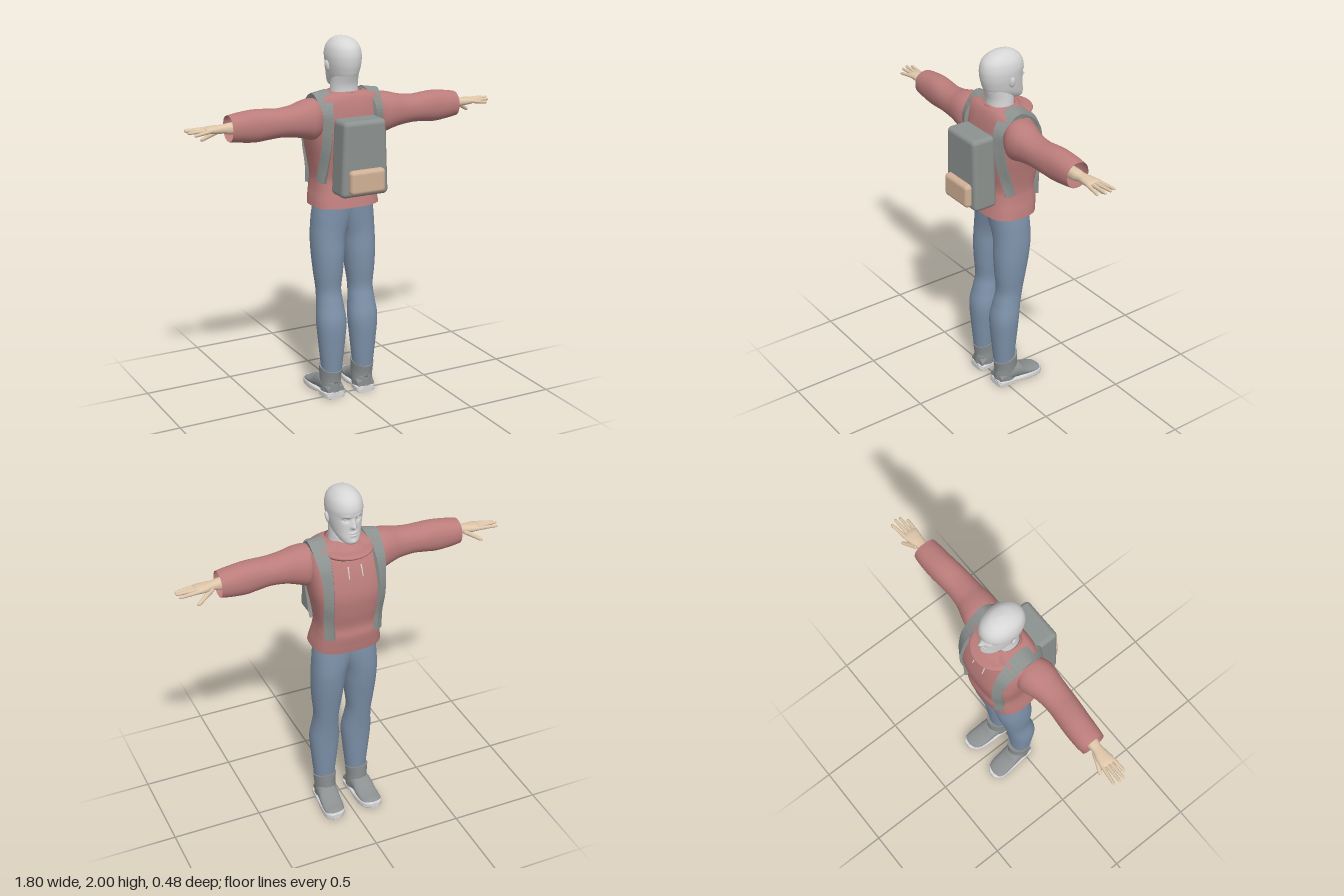
import * as THREE from 'three';
import { RoundedBoxGeometry } from 'three/addons/geometries/RoundedBoxGeometry.js';

const mat = (name, color, side = THREE.FrontSide) => {
  const m = new THREE.MeshStandardMaterial({ color, side });
  m.name = name;
  return m;
};

// Smooth value between section b and c
const spline = (a, b, c, d, t) =>
  b + 0.5 * t * (c - a + t * (2 * a - 5 * b + 4 * c - d + t * (3 * (b - c) + d - a)));

// Skin over sections [t, u0, u1, v0, v1]; each is a rounded oval of power n
function loft(sections, map, { n = 2, seg = 40, steps = 6, caps = false } = {}) {
  const pos = [], index = [], last = sections.length - 1;
  const at = (i) => sections[Math.min(last, Math.max(0, i))];
  const bend = (c) => Math.sign(c) * Math.pow(Math.abs(c), 2 / n);
  const rings = last * steps;
  for (let r = 0; r <= rings; r++) {
    const i = Math.min(last - 1, Math.floor(r / steps)), f = r / steps - i;
    const [t, u0, u1, v0, v1] = at(i).map((_, k) =>
      spline(at(i - 1)[k], at(i)[k], at(i + 1)[k], at(i + 2)[k], f));
    for (let s = 0; s < seg; s++) {
      const a = (s / seg) * Math.PI * 2;
      pos.push(...map(t, (u0 + u1) / 2 + bend(Math.cos(a)) * (u1 - u0) / 2,
        (v0 + v1) / 2 + bend(Math.sin(a)) * (v1 - v0) / 2));
    }
  }
  for (let r = 0; r < rings; r++) for (let s = 0; s < seg; s++) {
    const a = r * seg + s, b = r * seg + (s + 1) % seg;
    index.push(a, a + seg, b, b, a + seg, b + seg);
  }
  if (caps) for (const r of [0, rings]) {
    const base = pos.length / 3, mid = [0, 0, 0];
    for (let s = 0; s < seg; s++) {
      const p = pos.slice((r * seg + s) * 3, (r * seg + s) * 3 + 3);
      p.forEach((c, k) => (mid[k] += c / seg));
      pos.push(...p);
    }
    pos.push(...mid);
    for (let s = 0; s < seg; s++) {
      const a = base + s, b = base + (s + 1) % seg;
      index.push(base + seg, ...(r ? [b, a] : [a, b]));
    }
  }
  const g = new THREE.BufferGeometry();
  g.setAttribute('position', new THREE.Float32BufferAttribute(pos, 3));
  g.setIndex(index);
  g.computeVertexNormals();
  return g;
}
const upY = (t, u, v) => [u, t, v];
const alongX = (t, u, v) => [t, v, u];
const forward = (t, u, v) => [u + t * 0.11, v, -t];
const sym = (rows) => rows.map(([y, hx, zf, zb]) => [y, -hx, hx, zf, zb]);

function mirrored(geometry) {
  const g = geometry.clone().scale(-1, 1, 1), a = g.index.array;
  for (let i = 0; i < a.length; i += 3) [a[i], a[i + 1]] = [a[i + 1], a[i]];
  return g;
}

// Torso: y, half width, front z, back z
const TORSO = [[1.1, 0.19, -0.2, 0.09], [1.14, 0.184, -0.206, 0.08], [1.2, 0.172, -0.213, 0.065],
  [1.26, 0.168, -0.206, 0.055], [1.35, 0.18, -0.222, 0.07], [1.45, 0.198, -0.23, 0.088],
  [1.55, 0.208, -0.208, 0.09], [1.62, 0.208, -0.18, 0.082], [1.67, 0.198, -0.15, 0.07],
  [1.7, 0.16, -0.125, 0.055], [1.718, 0.09, -0.1, 0.035]];
function torsoZ(x, y, side) {
  let i = 0;
  while (i < TORSO.length - 2 && TORSO[i + 1][0] < y) i++;
  const f = (y - TORSO[i][0]) / (TORSO[i + 1][0] - TORSO[i][0]);
  const [, hx, zf, zb] = TORSO[i].map((c, k) => c + (TORSO[i + 1][k] - c) * f);
  const k = Math.pow(Math.max(0, 1 - Math.pow(Math.abs(x) / hx, 2.8)), 1 / 2.8);
  return (zf + zb) / 2 + side * k * (zb - zf) / 2;
}

// Band lying on the torso along [x, y, side]; side 0 is the top of the shoulder
function strapGeometry(route) {
  const normals = route.map(([x, y, s]) => {
    if (!s) return new THREE.Vector3(0.15, 1, 0);
    const slope = (dx, dy) => (torsoZ(x + dx, y + dy, s) - torsoZ(x - dx, y - dy, s)) / 0.02;
    return new THREE.Vector3(-s * slope(0.01, 0), -s * slope(0, 0.01), s).normalize();
  });
  const points = route.map(([x, y, s], i) =>
    new THREE.Vector3(x, y, s ? torsoZ(x, y, s) : -0.03).addScaledVector(normals[i], 0.006));
  const path = new THREE.CatmullRomCurve3(points), out = new THREE.CatmullRomCurve3(normals);
  const pos = [], index = [], N = 60;
  for (let i = 0; i <= N; i++) {
    const p = path.getPoint(i / N), n = out.getPoint(i / N).normalize();
    const s = path.getTangent(i / N).cross(n).normalize();
    const half = 0.026 + 0.016 * Math.max(0, n.y);
    for (const [w, h] of [[-1, -0.025], [1, -0.025], [1, 0.009], [-1, 0.009]])
      pos.push(...p.clone().addScaledVector(s, w * half).addScaledVector(n, h).toArray());
  }
  for (let i = 0; i < N; i++) for (let k = 0; k < 4; k++) {
    const a = i * 4 + k, b = i * 4 + (k + 1) % 4;
    index.push(a, a + 4, b, b, a + 4, b + 4);
  }
  index.push(0, 1, 2, 0, 2, 3, N * 4, N * 4 + 2, N * 4 + 1, N * 4, N * 4 + 3, N * 4 + 2);
  const g = new THREE.BufferGeometry();
  g.setAttribute('position', new THREE.Float32BufferAttribute(pos, 3));
  g.setIndex(index);
  const flat = g.toNonIndexed();
  flat.computeVertexNormals();
  flat.setIndex([...Array(flat.attributes.position.count).keys()]);
  return flat;
}

// Head with brow, sockets, nose, lips and chin pushed out of an oval
function headGeometry() {
  const g = loft(sym([[1.722, 0.004, -0.15, -0.13], [1.727, 0.03, -0.168, -0.1], [1.74, 0.048, -0.176, -0.06],
    [1.765, 0.064, -0.177, 0], [1.79, 0.074, -0.174, 0.045], [1.83, 0.083, -0.171, 0.062],
    [1.87, 0.089, -0.17, 0.07], [1.91, 0.09, -0.175, 0.07], [1.95, 0.08, -0.162, 0.056],
    [1.98, 0.056, -0.132, 0.02], [1.994, 0.03, -0.1, -0.02], [2, 0.001, -0.061, -0.059]]), upY, { n: 2.1, seg: 80, steps: 7 });
  const bumps = [[0, 1.83, 0.012, 0.012, -0.026], [0, 1.852, 0.009, 0.016, -0.014], [0.034, 1.863, 0.015, 0.01, 0.014],
    [0.03, 1.884, 0.022, 0.007, -0.005], [0, 1.792, 0.02, 0.005, -0.008], [0, 1.779, 0.017, 0.005, -0.007],
    [0, 1.785, 0.02, 0.002, 0.004], [0, 1.745, 0.02, 0.011, -0.006]];
  const p = g.attributes.position;
  for (let i = 0; i < p.count; i++) {
    if (p.getZ(i) > -0.08) continue;
    const x = Math.abs(p.getX(i)), y = p.getY(i);
    for (const [bx, by, sx, sy, d] of bumps)
      p.setZ(i, p.getZ(i) + d * Math.exp(-(((x - bx) / sx) ** 2) - ((y - by) / sy) ** 2));
  }
  g.computeVertexNormals();
  return g;
}

function capsule(a, b, r) {
  const from = new THREE.Vector3(...a), d = new THREE.Vector3(...b).sub(from), len = d.length();
  const g = new THREE.CapsuleGeometry(r, len, 5, 12);
  const p = g.attributes.position;
  for (let i = 0; i < p.count; i++) {
    const k = 1 - 0.35 * (p.getY(i) / len + 0.5);
    p.setXYZ(i, p.getX(i) * k, p.getY(i), p.getZ(i) * k);
  }
  g.applyQuaternion(new THREE.Quaternion().setFromUnitVectors(new THREE.Vector3(0, 1, 0), d.clone().normalize()));
  return g.translate(...from.addScaledVector(d, 0.5).toArray());
}

export function createModel() {
  const model = new THREE.Group();
  const sweater = mat('sweater red', 0xbb7d7b, THREE.DoubleSide), denim = mat('trouser blue', 0x7e92aa);
  const pale = mat('pale grey', 0xd6d6d6), skin = mat('skin', 0xdec6a9);
  const canvas = mat('pack grey', 0x8c928f), leather = mat('boot grey', 0x8c9091), tan = mat('pocket tan', 0xd0b196);
  const add = (name, g, m) => {
    const mesh = new THREE.Mesh(g, m);
    mesh.name = name;
    model.add(mesh);
  };
  const pair = (name, g, m) => {
    add(name + 'Left', g, m);
    add(name + 'Right', mirrored(g), m);
  };

  // Head and neck
  add('head', headGeometry(), pale);
  add('neck', loft(sym([[1.64, 0.085, -0.12, 0.035], [1.7, 0.076, -0.115, 0.035], [1.75, 0.072, -0.115, 0.038],
    [1.8, 0.07, -0.11, 0.055]]), upY), pale);
  pair('ear', new THREE.SphereGeometry(1, 20, 14).scale(0.01, 0.03, 0.016).rotateZ(-0.2).rotateY(-0.3)
    .translate(0.092, 1.848, -0.054), pale);
  pair('eye', new THREE.SphereGeometry(0.011, 16, 12).translate(0.034, 1.863, -0.143), pale);

  // Sweater
  add('sweaterBody', loft(sym(TORSO), upY, { n: 2.8, seg: 64 }), sweater);
  add('cowlCollar', loft(sym([[1.635, 0.12, -0.17, 0.05], [1.66, 0.138, -0.212, 0.055], [1.672, 0.14, -0.222, 0.055],
    [1.682, 0.13, -0.21, 0.053], [1.69, 0.105, -0.165, 0.05], [1.715, 0.084, -0.128, 0.045],
    [1.705, 0.076, -0.118, 0.038]]), upY, { seg: 48 }), sweater);
  pair('sleeve', loft([[0.1, -0.08, 0.045, 1.53, 1.665], [0.16, -0.1, 0.056, 1.49, 1.685], [0.21, -0.118, 0.078, 1.472, 1.69],
    [0.26, -0.108, 0.08, 1.486, 1.683], [0.32, -0.09, 0.073, 1.5, 1.667], [0.4, -0.083, 0.068, 1.507, 1.658],
    [0.48, -0.088, 0.062, 1.5, 1.663], [0.54, -0.092, 0.056, 1.495, 1.664], [0.62, -0.093, 0.05, 1.503, 1.655],
    [0.672, -0.088, 0.044, 1.511, 1.646]], alongX, { n: 2.2 }), sweater);
  const cord = (x, y) => [x, y, torsoZ(x, y, -1) - 0.005];
  pair('drawstring', capsule(cord(0.036, 1.61), cord(0.038, 1.555), 0.004), pale);

  // Hands
  pair('palm', loft([[0.56, -0.05, 0.015, 1.545, 1.61], [0.66, -0.05, 0.012, 1.55, 1.61], [0.7, -0.05, 0.006, 1.558, 1.604],
    [0.74, -0.062, 0.01, 1.56, 1.603], [0.78, -0.068, 0.013, 1.565, 1.6], [0.8, -0.06, 0.008, 1.573, 1.593]],
  alongX, { n: 2.3, caps: true }), skin);
  [[-0.057, 0.88, 1.583, -0.072], [-0.037, 0.89, 1.586, -0.042], [-0.017, 0.885, 1.58, -0.015], [0.002, 0.858, 1.57, 0.012]]
    .forEach(([z, x, y, tipZ], i) => pair('finger' + (i + 1), capsule([0.77, 1.583, z], [x, y, tipZ], 0.0118), skin));
  pair('thumb', capsule([0.715, 1.57, -0.045], [0.79, 1.525, -0.075], 0.0145), skin);

  // Trousers
  add('hips', loft(sym([[0.93, 0.03, -0.085, -0.03], [0.96, 0.08, -0.125, 0.005], [1.02, 0.13, -0.148, 0.028],
    [1.1, 0.16, -0.16, 0.045], [1.2, 0.15, -0.16, 0.04]]), upY, { n: 2.3 }), denim);
  pair('trouserLeg', loft([[0.155, 0.042, 0.153, -0.06, 0.053], [0.3, 0.026, 0.168, -0.073, 0.066], [0.44, 0.014, 0.179, -0.085, 0.073],
    [0.54, 0.024, 0.17, -0.098, 0.052], [0.62, 0.03, 0.166, -0.112, 0.035], [0.72, 0.018, 0.176, -0.13, 0.042],
    [0.82, 0.007, 0.183, -0.148, 0.046], [0.91, -0.002, 0.184, -0.16, 0.042], [0.97, -0.02, 0.181, -0.164, 0.042],
    [1.04, -0.05, 0.176, -0.165, 0.046], [1.12, -0.08, 0.165, -0.162, 0.05]], upY, { n: 2.2, caps: true }), denim);

  // Boots
  const slant = (t, u, v) => [u, t - (t > 0.1 ? (v + 0.01) * 0.3 : 0), v];
  pair('bootShaft', loft([[0.025, 0.042, 0.155, -0.07, 0.052], [0.07, 0.04, 0.156, -0.084, 0.052], [0.12, 0.04, 0.158, -0.084, 0.05],
    [0.175, 0.034, 0.163, -0.084, 0.058]], slant, { caps: true }), leather);
  pair('bootFoot', loft([[-0.045, 0.048, 0.15, 0.02, 0.07], [0.02, 0.04, 0.156, 0.02, 0.125], [0.08, 0.038, 0.156, 0.02, 0.12],
    [0.12, 0.035, 0.155, 0.02, 0.088], [0.17, 0.034, 0.152, 0.02, 0.066], [0.21, 0.043, 0.142, 0.02, 0.057],
    [0.232, 0.07, 0.115, 0.02, 0.04]], forward, { n: 2.2, caps: true }), leather);
  pair('bootSole', loft([[-0.053, 0.068, 0.135, 0.014, 0.036], [-0.035, 0.042, 0.158, 0.014, 0.036], [0.04, 0.038, 0.158, 0.016, 0.034],
    [0.1, 0.032, 0.158, 0.002, 0.036], [0.16, 0.028, 0.157, 0, 0.042], [0.21, 0.037, 0.147, 0.003, 0.046],
    [0.24, 0.07, 0.115, 0.012, 0.044]], forward, { n: 5, caps: true }), pale);
  pair('bootHeel', loft([[-0.055, 0.068, 0.135, 0, 0.025], [-0.04, 0.045, 0.156, 0, 0.025], [0.035, 0.04, 0.157, 0, 0.025]],
    forward, { n: 6, caps: true }), pale);

  // Backpack, narrower at the top
  const pack = new RoundedBoxGeometry(0.275, 0.405, 0.14, 4, 0.026);
  const p = pack.attributes.position;
  for (let i = 0; i < p.count; i++) p.setX(i, p.getX(i) * (0.95 - p.getY(i) * 0.3));
  add('backpack', pack.translate(0, 1.392, 0.14), canvas);
  add('packPocket', new RoundedBoxGeometry(0.205, 0.13, 0.055, 4, 0.022).translate(0, 1.275, 0.217), tan);

  // Shoulder straps: up the chest, over the shoulder, down to the flank
  pair('shoulderStrap', strapGeometry([[0.133, 1.2, -1], [0.138, 1.3, -1], [0.143, 1.42, -1], [0.145, 1.54, -1], [0.148, 1.63, -1],
    [0.148, 1.706, 0], [0.146, 1.63, 1], [0.148, 1.53, 1], [0.15, 1.42, 1], [0.151, 1.32, 1], [0.156, 1.24, 1]]), canvas);
  return model;
}
